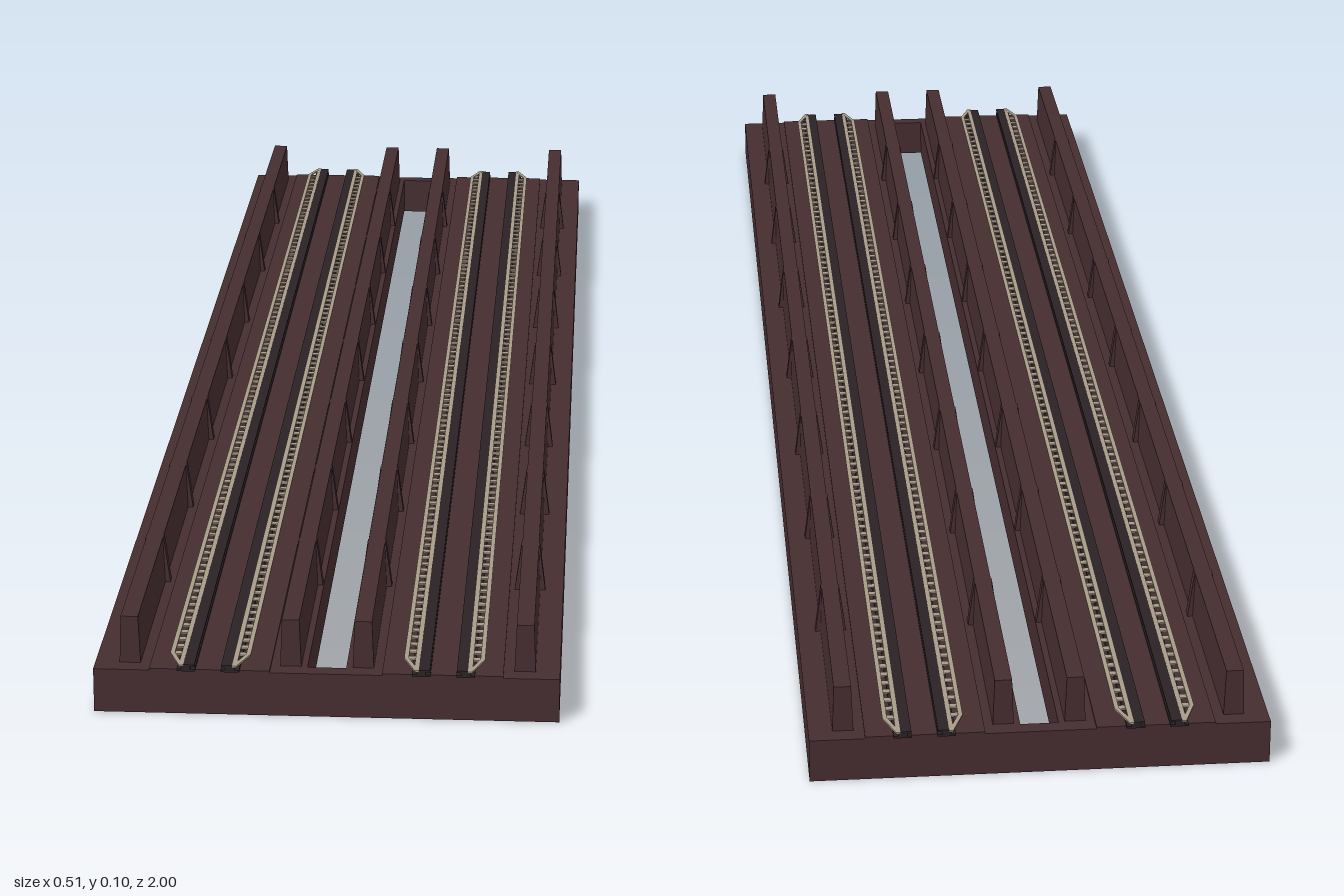
import * as THREE from 'three';
import { mergeGeometries } from 'three/addons/utils/BufferGeometryUtils.js';

const mat = (name, color, side = THREE.FrontSide) => {
  const m = new THREE.MeshStandardMaterial({ color, side });
  m.name = name;
  return m;
};

const DECK_Z = 0.992; // half length of the deck
const TRACK_X = 0.1275; // centre of each track

export function createModel() {
  const brown = mat('deck brown', 0x462d30);
  const shade = mat('underside brown', 0x2c1d1f);
  const steel = mat('dark steel', 0x2a2224);
  const pale = mat('worn rail', 0xa89c88);

  const root = new THREE.Group();
  root.name = 'twinTrackDeck';

  const add = (parent, name, geometry, material) => {
    const mesh = new THREE.Mesh(geometry, material);
    mesh.name = name;
    parent.add(mesh);
    return mesh;
  };
  // Box given by its limits
  const box = (x0, x1, y0, y1, z0, z1) => {
    const g = new THREE.BoxGeometry(Math.abs(x1 - x0), y1 - y0, z1 - z0);
    return g.translate((x0 + x1) / 2, (y0 + y1) / 2, (z0 + z1) / 2);
  };
  // Trapezoid section extruded along z
  const trapezoid = (x, halfBase, halfTop, y0, y1, z0, z1) => {
    const s = new THREE.Shape([
      new THREE.Vector2(-halfBase, y0), new THREE.Vector2(halfBase, y0),
      new THREE.Vector2(halfTop, y1), new THREE.Vector2(-halfTop, y1),
    ]);
    return new THREE.ExtrudeGeometry(s, { depth: z1 - z0, bevelEnabled: false }).translate(x, 0, z0);
  };

  // Parapet wall with evenly spaced buttresses
  const parapet = (parent, x) => {
    add(parent, 'parapetWall', trapezoid(x, 0.0115, 0.0095, 0.05, 0.104, -0.972, 0.972), brown);
    const ribs = [];
    for (let i = -3; i <= 3; i++) {
      const z = i * 0.243;
      ribs.push(trapezoid(x, 0.0175, 0.0105, 0.05, 0.1035, z - 0.006, z + 0.006));
    }
    add(parent, 'parapetRibs', mergeGeometries(ribs), brown);
  };

  // Guard rail whose ends bend in towards the running rail
  const guardRail = (s) => {
    const path = [[0.0285, -1], [0.0415, -0.965], [0.0415, 0.965], [0.0285, 1]];
    const h = 0.0025;
    const outline = [
      ...path.map(([x, z]) => new THREE.Vector2(s * (x + h), -z)),
      ...path.reverse().map(([x, z]) => new THREE.Vector2(s * (x - h), -z)),
    ];
    const g = new THREE.ExtrudeGeometry(new THREE.Shape(outline), { depth: 0.002, bevelEnabled: false });
    return g.rotateX(-Math.PI / 2).translate(0, 0.0582, 0);
  };

  // One running rail and its guard, on the s side of the track centre
  const rail = (parent, s) => {
    const strip = (a, b, y0, y1) => box(s * a, s * b, y0, y1, -0.998, 0.998);
    add(parent, 'railFoot', strip(0.014, 0.034, 0.052, 0.0545), steel);
    add(parent, 'railWeb', strip(0.019, 0.029, 0.0545, 0.0575), steel);
    add(parent, 'railHead', strip(0.0145, 0.0265, 0.0575, 0.0598), steel);
    add(parent, 'runningStrip', strip(0.0265, 0.0315, 0.0575, 0.06), pale);
    add(parent, 'guardRail', guardRail(s), pale);
    const clips = [];
    for (let i = -48; i <= 48; i++) {
      clips.push(box(s * 0.031, s * 0.043, 0.0565, 0.0582, i * 0.02 - 0.004, i * 0.02 + 0.004));
    }
    add(parent, 'railClips', mergeGeometries(clips), pale);
  };

  for (const side of [-1, 1]) {
    const half = new THREE.Group();
    half.name = side > 0 ? 'leftDeck' : 'rightDeck';
    root.add(half);
    const b = (x0, x1, ...r) => box(side * x0, side * x1, ...r);

    // Hollow deck: top slab, side girders, end beams
    add(half, 'deckSlab', b(0.021, 0.253, 0.04, 0.05, -DECK_Z, DECK_Z), brown);
    add(half, 'ceilingPanel', b(0.04, 0.228, 0.037, 0.04, -0.965, 0.965), shade);
    add(half, 'outerGirder', b(0.228, 0.253, 0, 0.04, -DECK_Z, DECK_Z), brown);
    add(half, 'innerGirder', b(0.021, 0.04, 0, 0.04, -DECK_Z, DECK_Z), brown);
    for (const e of [-1, 1]) {
      const z = e * (DECK_Z - 0.0135);
      add(half, 'endBeam', b(0.04, 0.228, 0, 0.04, z - 0.0135, z + 0.0135), brown);
    }

    add(half, 'trackBed', b(0.061, 0.192, 0.05, 0.052, -DECK_Z, DECK_Z), brown);
    parapet(half, side * 0.0395);
    parapet(half, side * 0.215);

    const track = new THREE.Group();
    track.name = 'track';
    track.position.x = side * TRACK_X;
    half.add(track);
    for (const s of [-1, 1]) rail(track, s);
  }

  // Short ties joining the two decks at both ends
  for (const e of [-1, 1]) {
    const z = e * (DECK_Z - 0.009);
    add(root, 'endTie', box(-0.021, 0.021, 0, 0.05, z - 0.009, z + 0.009), brown);
  }
  return root;
}
